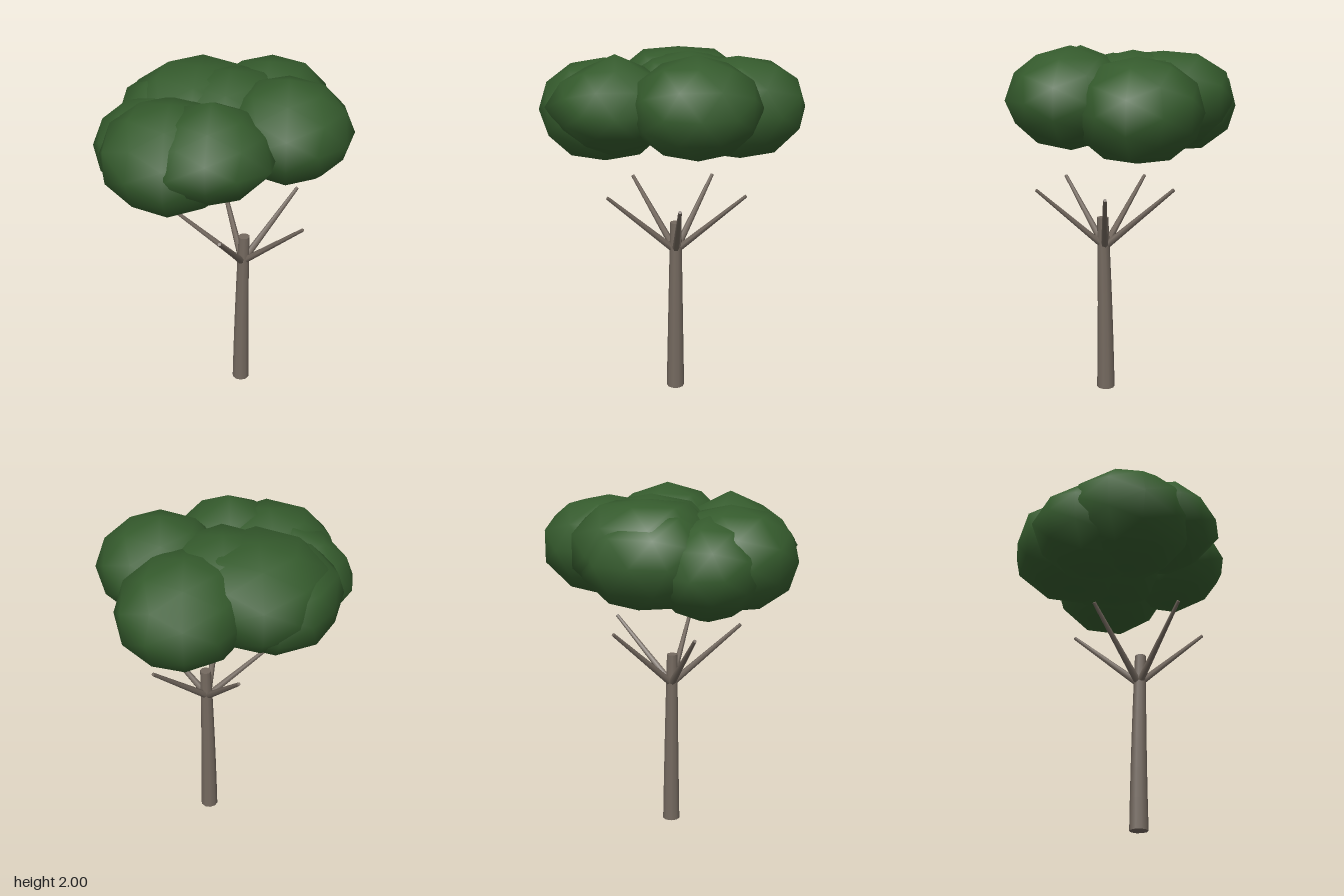
import * as THREE from 'three';
import { mergeVertices } from 'three/addons/utils/BufferGeometryUtils.js';

const bark = new THREE.MeshStandardMaterial({ color: 0x74695f });
bark.name = 'bark';
const leaf = new THREE.MeshStandardMaterial({ color: 0x355b2d });
leaf.name = 'leaf';

// Smooth, coarse leaf clump. power < 2 makes it pointed, > 2 makes it boxy
function clump([x, y, z], radii, power) {
  let g = new THREE.IcosahedronGeometry(1, 1);
  g.deleteAttribute('uv');
  g.deleteAttribute('normal');
  g = mergeVertices(g, 1e-3);
  const p = g.attributes.position;
  const v = new THREE.Vector3();
  for (let i = 0; i < p.count; i++) {
    v.fromBufferAttribute(p, i);
    const sum = v.toArray().reduce((s, c) => s + Math.abs(c) ** power, 0);
    v.divideScalar(sum ** (1 / power));
    p.setXYZ(i, v.x, v.y, v.z);
  }
  g.scale(...radii);
  g.computeVertexNormals();
  const mesh = new THREE.Mesh(g, leaf);
  mesh.position.set(x, y, z);
  return mesh;
}

// Tapered limb between two points
function limb(a, b, r0, r1, sides) {
  const dir = b.clone().sub(a);
  const mesh = new THREE.Mesh(new THREE.CylinderGeometry(r1, r0, dir.length(), sides), bark);
  mesh.position.copy(a).addScaledVector(dir, 0.5);
  mesh.quaternion.setFromUnitVectors(new THREE.Vector3(0, 1, 0), dir.normalize());
  return mesh;
}

export function createModel() {
  const tree = new THREE.Group();
  tree.name = 'tree';
  const z0 = -0.017;

  // Trunk: tapered, bending slightly towards +x
  const trunkGeo = new THREE.CylinderGeometry(0.032, 0.052, 1.03, 10, 6);
  trunkGeo.translate(0, 0.515, 0);
  const p = trunkGeo.attributes.position;
  for (let i = 0; i < p.count; i++) {
    const t = p.getY(i) / 1.03;
    p.setX(i, p.getX(i) + 0.016 * t * t);
  }
  const trunk = new THREE.Mesh(trunkGeo, bark);
  trunk.name = 'trunk';
  trunk.position.set(0.077, 0, z0);
  tree.add(trunk);

  // Five branches fanned evenly around the trunk
  const branches = new THREE.Group();
  branches.name = 'branches';
  for (let i = 0; i < 5; i++) {
    const a = (i / 5) * Math.PI * 2;
    const from = new THREE.Vector3(0.082, 0.855, z0);
    const to = new THREE.Vector3(0.078 + 0.4 * Math.cos(a), 1.212, z0 + 0.4 * Math.sin(a));
    const branch = limb(from, to, 0.021, 0.01, 6);
    branch.name = 'branch' + (i + 1);
    branches.add(branch);
  }
  tree.add(branches);

  // Canopy of overlapping flattened clumps: centre, radii, power
  const canopy = new THREE.Group();
  canopy.name = 'canopy';
  const clumps = [
    ['leftClump', [0.3, 1.72, -0.11], [0.36, 0.28, 0.36], 1.87],
    ['backClump', [0.01, 1.67, -0.36], [0.34, 0.28, 0.38], 2.2],
    ['rightClump', [-0.25, 1.7, -0.06], [0.36, 0.26, 0.37], 2.8],
    ['lowerRightClump', [-0.31, 1.66, -0.01], [0.35, 0.26, 0.35], 2.6],
    ['middleClump', [-0.06, 1.69, -0.09], [0.36, 0.28, 0.38], 2.15],
    ['frontClump', [-0.1, 1.645, 0.37], [0.37, 0.285, 0.37], 2.15],
    ['frontLeftClump', [0.12, 1.7, 0.31], [0.36, 0.28, 0.38], 1.5],
    ['frontRightClump', [-0.27, 1.61, 0.3], [0.36, 0.28, 0.32], 1.8],
  ];
  for (const [name, centre, radii, power] of clumps) {
    const mesh = clump(centre, radii, power);
    mesh.name = name;
    canopy.add(mesh);
  }
  tree.add(canopy);
  return tree;
}
